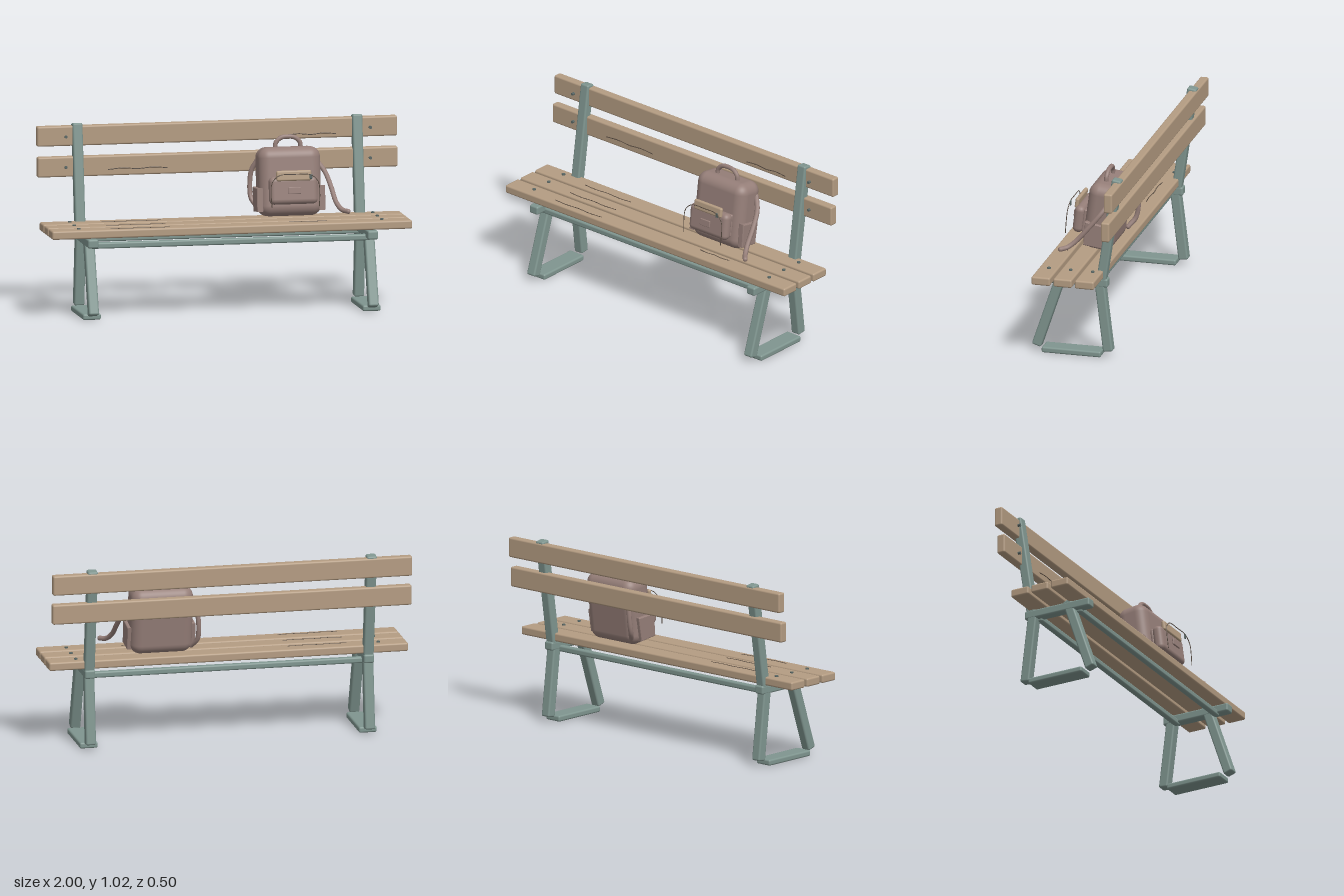
import * as THREE from 'three';
import { RoundedBoxGeometry } from 'three/addons/geometries/RoundedBoxGeometry.js';

const paint = (name, color) => {
  const m = new THREE.MeshStandardMaterial({ color });
  m.name = name;
  return m;
};

export function createModel() {
  const steel = paint('grey green steel', 0x7f958f);
  const wood = paint('pale wood', 0xb49c82);
  const cloth = paint('dusty mauve cloth', 0x967f79);
  const dark = paint('dark grain', 0x55493f);
  const boltMat = paint('bolt metal', 0x5a6866);

  const model = new THREE.Group();
  model.name = 'benchWithBackpack';

  const add = (parent, name, geometry, material, x = 0, y = 0, z = 0) => {
    const mesh = new THREE.Mesh(geometry, material);
    mesh.name = name;
    mesh.position.set(x, y, z);
    parent.add(mesh);
    return mesh;
  };
  const box = (w, h, d, r = 0.01, s = 3) => new RoundedBoxGeometry(w, h, d, s, r);
  const tube = (points, r, closed = false) => new THREE.TubeGeometry(
    new THREE.CatmullRomCurve3(points.map((p) => new THREE.Vector3(...p)), closed), 40, r, 10, closed);
  // Tube with rounded ends
  const cord = (parent, name, points, r, material) => {
    add(parent, name, tube(points, r), material);
    for (const p of [points[0], points[points.length - 1]]) {
      add(parent, name + 'End', new THREE.SphereGeometry(r, 12, 8), material, ...p);
    }
  };
  // Square bar between two points [y, z] in a side plane
  const bar = (parent, name, x, [y0, z0], [y1, z1], width, depth) => {
    const m = add(parent, name, box(width, Math.hypot(y1 - y0, z1 - z0), depth), steel,
      x, (y0 + y1) / 2, (z0 + z1) / 2);
    m.rotation.x = Math.atan2(z1 - z0, y1 - y0);
  };

  // Seat and back planks
  const seatZ = [[0.152, 0.106], [0.029, 0.104], [-0.094, 0.108]];
  for (const [z, d] of seatZ) add(model, 'seatSlat', box(2, 0.047, d), wood, 0, 0.472, z);
  add(model, 'lowerBackSlat', box(2, 0.111, 0.048), wood, 0, 0.787, -0.211);
  add(model, 'upperBackSlat', box(2, 0.11, 0.048), wood, 0, 0.954, -0.227);

  // Steel end frames
  for (const side of [-1, 1]) {
    const frame = new THREE.Group();
    frame.name = side > 0 ? 'leftFrame' : 'rightFrame';
    model.add(frame);
    const x = side * 0.777;
    add(frame, 'foot', box(0.1, 0.033, 0.333), steel, x, 0.0165, 0.028);
    add(frame, 'seatRail', box(0.058, 0.048, 0.402), steel, x, 0.423, 0.029);
    bar(frame, 'frontLeg', x, [0.03, 0.231], [0.46, 0.087], 0.056, 0.054);
    bar(frame, 'rearLeg', x, [0.03, -0.173], [0.45, -0.122], 0.056, 0.055);
    bar(frame, 'backPost', x, [0.4, -0.129], [1.022, -0.222], 0.056, 0.053);
    // Bolts through the planks
    const bolt = new THREE.CylinderGeometry(0.01, 0.01, 0.012, 12);
    for (const [z] of seatZ) add(frame, 'seatBolt', bolt, boltMat, side * 0.842, 0.496, z - 0.005);
    for (const [y, z] of [[0.785, -0.181], [0.953, -0.181]]) {
      add(frame, 'backBolt', new THREE.CylinderGeometry(0.008, 0.008, 0.016, 12), boltMat,
        side * 0.845, y, z).rotation.x = Math.PI / 2;
    }
  }
  for (const z of [0.15, -0.095]) {
    add(model, 'crossRail', box(1.55, 0.034, 0.034), steel, 0, 0.403, z);
  }

  // Fine grain cracks lying on the planks
  const grain = (x0, x1, y, z, wave) => {
    const pts = [0, 0.25, 0.5, 0.75, 1].map((t, i) => {
      const w = 0.003 * (i % 2 ? 1 : -1);
      return [x0 + (x1 - x0) * t, y + (wave === 'y' ? w : 0), z + (wave === 'z' ? w : 0)];
    });
    add(model, 'grainCrack', tube(pts, 0.0025), dark);
  };
  for (const z of [0.172, 0.05, -0.075]) grain(-0.67, -0.34, 0.4955, z, 'z');
  grain(0.33, 0.54, 0.4955, 0.13, 'z');
  grain(-0.61, -0.28, 0.769, -0.187, 'y');
  grain(0.38, 0.66, 0.924, -0.203, 'y');

  // Backpack body, leaning on the backrest
  const pack = new THREE.Group();
  pack.name = 'backpack';
  model.add(pack);
  const body = new THREE.Group();
  body.name = 'packBody';
  body.position.set(0.363, 0.692, -0.053);
  body.rotation.x = -0.13;
  pack.add(body);
  add(body, 'mainBag', box(0.345, 0.376, 0.175, 0.058, 6), cloth);
  add(body, 'frontPocket', box(0.268, 0.152, 0.06, 0.028, 5), cloth, 0, -0.047, 0.126);
  const piping = new THREE.Shape();
  piping.absarc(0, 0, 1, 0, Math.PI * 2);
  add(body, 'pocketSeam', box(0.25, 0.13, 0.02, 0.009), cloth, 0, -0.047, 0.094);
  add(body, 'pocketFlap', box(0.195, 0.057, 0.022, 0.01), wood, 0, 0.033, 0.154);
  add(body, 'patch', box(0.07, 0.038, 0.01, 0.004), cloth, 0, -0.048, 0.172);

  // Tapered side pockets
  const outline = new THREE.Shape();
  outline.moveTo(-0.05, -0.065);
  outline.lineTo(0.05, -0.065);
  outline.lineTo(0.056, 0.052);
  outline.lineTo(-0.056, 0.058);
  outline.closePath();
  const pocket = new THREE.ExtrudeGeometry(outline, {
    depth: 0.024, bevelEnabled: true, bevelSize: 0.006, bevelThickness: 0.006, bevelSegments: 3,
  });
  pocket.translate(0, 0, -0.012);
  for (const side of [-1, 1]) {
    add(body, 'sidePocket', pocket, cloth, side * 0.172, -0.09, 0.012).rotation.y = side * Math.PI / 2;
  }

  // Zip line around the front pocket and its puller
  add(pack, 'zip', tube([
    [0.232, 0.58, 0.15], [0.228, 0.65, 0.144], [0.235, 0.715, 0.138], [0.275, 0.752, 0.133],
    [0.363, 0.757, 0.132], [0.451, 0.752, 0.133], [0.491, 0.715, 0.138], [0.498, 0.65, 0.144],
    [0.494, 0.58, 0.15]], 0.0022), dark);
  add(pack, 'zipPull', box(0.016, 0.026, 0.006, 0.002), boltMat, 0.452, 0.743, 0.131);

  // Carry handle and shoulder straps
  cord(pack, 'handle', [[0.292, 0.872, -0.063], [0.297, 0.905, -0.065], [0.325, 0.93, -0.067],
    [0.363, 0.935, -0.068], [0.4, 0.93, -0.067], [0.429, 0.905, -0.065], [0.434, 0.872, -0.063]], 0.0125, cloth);
  cord(pack, 'leftStrap', [[0.53, 0.795, -0.11], [0.57, 0.735, -0.07], [0.592, 0.66, -0.01],
    [0.607, 0.585, 0.055], [0.63, 0.55, 0.1], [0.658, 0.544, 0.133]], 0.0135, cloth);
  cord(pack, 'rightStrap', [[0.21, 0.795, -0.155], [0.183, 0.74, -0.172], [0.174, 0.66, -0.175],
    [0.178, 0.59, -0.16], [0.205, 0.545, -0.125]], 0.0135, cloth);

  return model;
}
